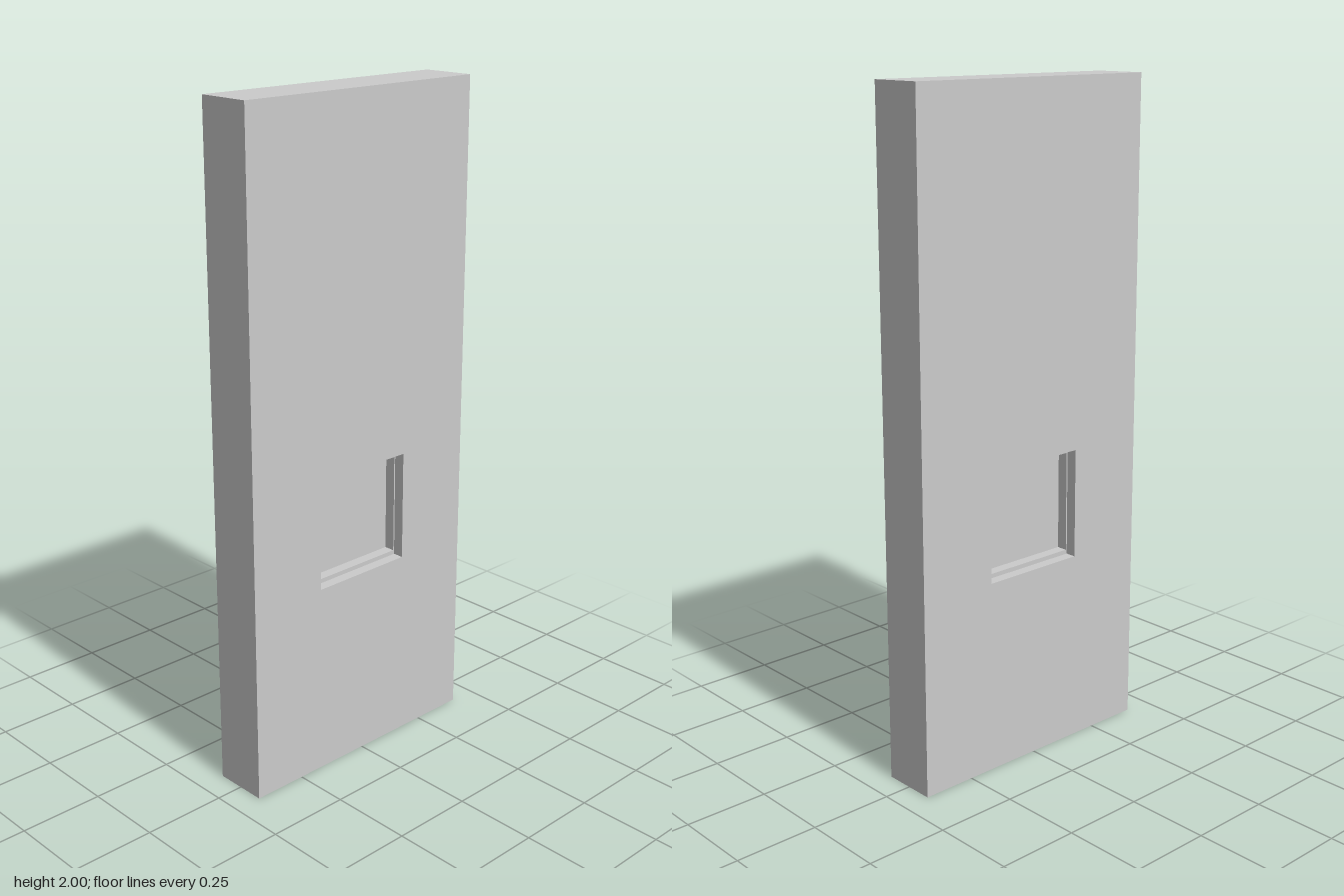
import * as THREE from 'three';

const material = new THREE.MeshStandardMaterial({ color: 0xcccccc, flatShading: true });

// Rectangle given by half width (along z), bottom and top
function rect(path, w, y0, y1) {
  path.moveTo(-w, y0);
  path.lineTo(w, y0);
  path.lineTo(w, y1);
  path.lineTo(-w, y1);
  path.closePath();
  return path;
}

// Upright panel in the y-z plane, centred on x = 0, with an optional opening
function panel(name, outer, hole, thickness) {
  const shape = rect(new THREE.Shape(), ...outer);
  if (hole) shape.holes.push(rect(new THREE.Path(), ...hole));
  const geometry = new THREE.ExtrudeGeometry(shape, { depth: thickness, bevelEnabled: false });
  geometry.translate(0, 0, -thickness / 2);
  geometry.rotateY(Math.PI / 2);
  const mesh = new THREE.Mesh(geometry, material);
  mesh.name = name;
  return mesh;
}

export function createModel() {
  const group = new THREE.Group();
  group.name = 'doorPanel';

  const slab = [0.4167, 0, 2];
  const opening = [0.167, 0.587, 0.92];
  const glazing = [0.163, 0.6, 0.905];

  // Door slab, stepped window frame and recessed pane, alike on both sides
  group.add(panel('doorSlab', slab, opening, 0.1667));
  group.add(panel('windowFrame', opening, glazing, 0.1));
  group.add(panel('windowPane', glazing, null, 0.0333));
  return group;
}
